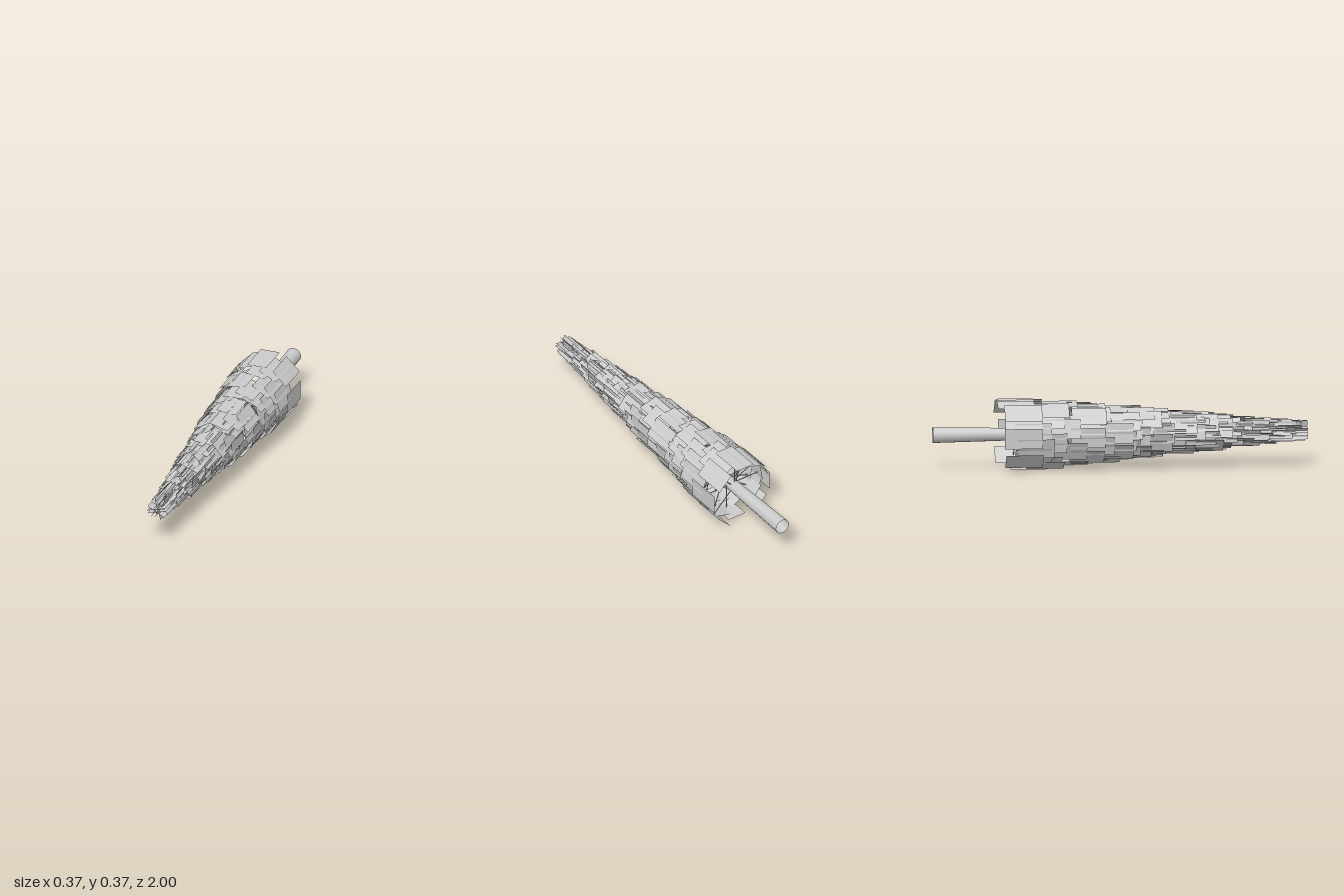
import * as THREE from 'three';

const AXIS_X = -0.006, AXIS_Y = 0.187;   // trunk axis, running along z
const RINGS = 24, PER_RING = 8;
const BASE_Z = -0.56, TIP_Z = 0.935;

// small seeded generator
function makeRandom(seed) {
  return () => {
    seed = (seed * 16807) % 2147483647;
    return seed / 2147483647;
  };
}

export function createModel() {
  const model = new THREE.Group();
  model.name = 'fallenTree';
  const tree = new THREE.Group();
  tree.name = 'tree';
  tree.position.set(AXIS_X, AXIS_Y, 0);
  model.add(tree);

  const material = new THREE.MeshStandardMaterial({ color: 0xcccccc, side: THREE.DoubleSide });
  const random = makeRandom(4711);

  // open tapered trunk, lying with its foot at the back
  const trunkGeometry = new THREE.CylinderGeometry(0.003, 0.042, 1.96, 16, 1, true);
  trunkGeometry.rotateX(Math.PI / 2);
  const trunk = new THREE.Mesh(trunkGeometry, material);
  trunk.name = 'trunk';
  trunk.position.z = -0.02;
  tree.add(trunk);

  // unit branch along +y and unit leaf plate facing +y
  const branchGeometry = new THREE.CylinderGeometry(0.0025, 0.003, 1, 6).translate(0, 0.5, 0);
  const leafGeometry = new THREE.PlaneGeometry(1, 1).rotateX(-Math.PI / 2);

  // rings of branches, each ring turned and shorter towards the tip
  for (let i = 0; i < RINGS; i++) {
    const t = i / (RINGS - 1);
    const ring = new THREE.Group();
    ring.name = 'branchRing';
    ring.rotation.z = THREE.MathUtils.degToRad(18.3 * i);
    tree.add(ring);
    const radius = 0.008 + 0.175 * Math.pow(1 - t, 0.75);
    const leafLength = THREE.MathUtils.lerp(0.2, 0.13, t);

    for (let k = 0; k < PER_RING; k++) {
      const z = BASE_Z + (TIP_Z - BASE_Z) * t + (random() - 0.5) * 0.2 * (1 - 0.6 * t);
      const arm = new THREE.Group();
      arm.name = 'branchWithLeaf';
      arm.rotation.z = (k / PER_RING) * Math.PI * 2;
      arm.position.z = THREE.MathUtils.clamp(z, BASE_Z, TIP_Z);

      const branch = new THREE.Mesh(branchGeometry, material);
      branch.name = 'branch';
      branch.scale.y = radius;

      const leaf = new THREE.Mesh(leafGeometry, material);
      leaf.name = 'leafPlate';
      leaf.position.y = radius;
      leaf.scale.set(0.108, 1, leafLength);

      arm.add(branch, leaf);
      ring.add(arm);
    }
  }
  return model;
}
